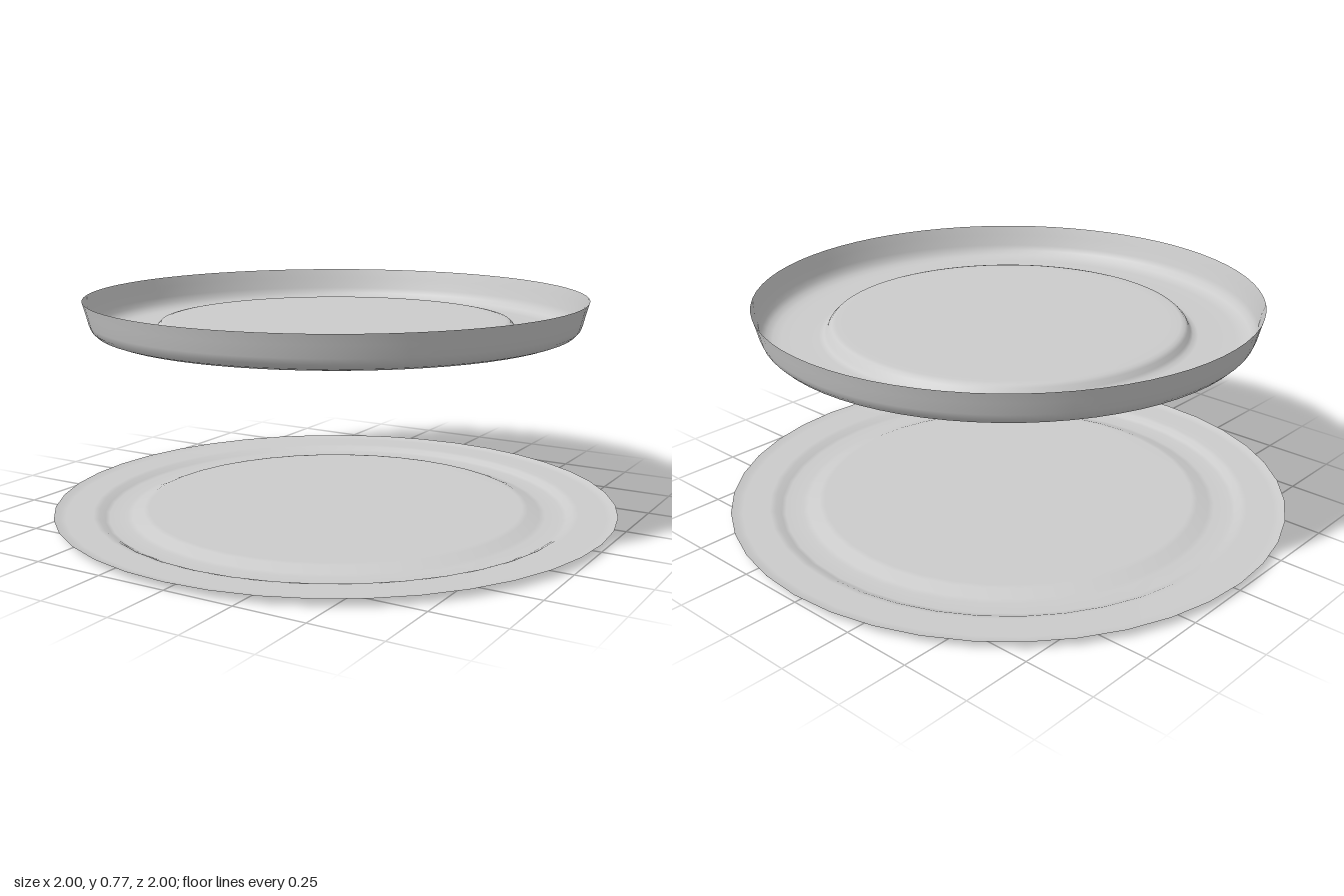
import * as THREE from 'three';

const material = new THREE.MeshStandardMaterial({ color: 0xcccccc, side: THREE.DoubleSide });

// Thin sheet spun around y from a list of [radius, height]
function spun(name, profile, sides) {
  const points = profile.map(([r, y]) => new THREE.Vector2(r, y));
  const mesh = new THREE.Mesh(new THREE.LatheGeometry(points, sides), material);
  mesh.name = name;
  return mesh;
}

export function createModel() {
  const group = new THREE.Group();
  group.name = 'panAndPlate';

  // Upper pan: raised centre ring, rounded step, flat floor, flared wall
  const pan = new THREE.Group();
  pan.name = 'pan';
  pan.add(spun('panShell', [
    [0.56, 0.69], [0.595, 0.69], [0.61, 0.687], [0.62, 0.678],
    [0.628, 0.664], [0.637, 0.655], [0.655, 0.65],
    [0.78, 0.65], [0.81, 0.652], [0.832, 0.66], [0.847, 0.675],
    [0.855, 0.695], [0.865, 0.735], [0.875, 0.77],
  ], 72));

  // Flat disc closing the centre of the pan
  const disc = new THREE.Mesh(new THREE.CircleGeometry(0.56, 72), material);
  disc.name = 'panCentreDisc';
  disc.rotation.x = -Math.PI / 2;
  disc.position.y = 0.69;
  pan.add(disc);

  // Lower plate: slightly raised centre, shallow channel, wide flat rim
  const plate = spun('plate', [
    [0, 0.02], [0.67, 0.02], [0.69, 0.018], [0.73, 0.003], [0.75, 0],
    [0.81, 0], [0.825, 0.004], [0.845, 0.015], [0.865, 0.018],
    [0.96, 0.018], [0.98, 0.02], [1, 0.026],
  ], 40);

  group.add(pan, plate);
  return group;
}
